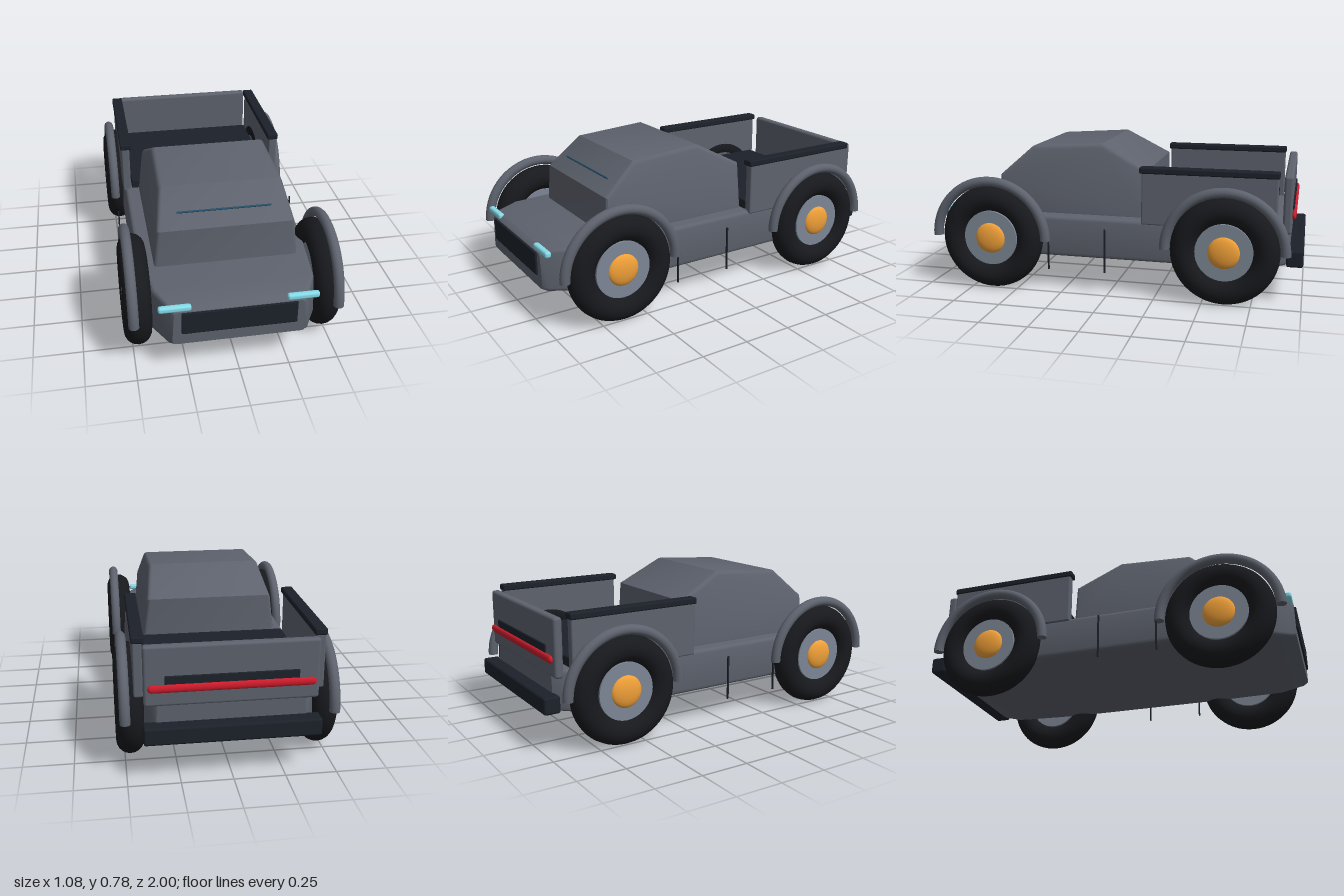
import * as THREE from 'three';
import { toCreasedNormals } from 'three/addons/utils/BufferGeometryUtils.js';
import { RoundedBoxGeometry } from 'three/addons/geometries/RoundedBoxGeometry.js';

const mat = (color) => new THREE.MeshStandardMaterial({ color });
const paint = mat(0x5d626d), dark = mat(0x1c212a), rubber = mat(0x18191d), steel = mat(0x7c8694);
const amber = mat(0xf0a038), red = mat(0xd01c2c), cyan = mat(0x86dcea), blue = mat(0x24506a);

function add(parent, name, geometry, material, x = 0, y = 0, z = 0) {
  const mesh = new THREE.Mesh(geometry, material);
  mesh.name = name;
  mesh.position.set(x, y, z);
  parent.add(mesh);
  return mesh;
}

// Softened box given by its extents on each axis
function block(parent, name, material, [x0, x1], [y0, y1], [z0, z1], r = 0.008) {
  return add(parent, name, new RoundedBoxGeometry(x1 - x0, y1 - y0, z1 - z0, 2, r), material,
    (x0 + x1) / 2, (y0 + y1) / 2, (z0 + z1) / 2);
}

// Lower body: rounded rectangular sections joined from rear to front
function bodyGeometry() {
  // z, half width at bottom, half width at top, bottom y, top y
  const stations = [
    [-0.93, 0.36, 0.35, 0.21, 0.39], [-0.91, 0.38, 0.37, 0.2, 0.4], [-0.83, 0.42, 0.405, 0.19, 0.405],
    [-0.45, 0.455, 0.445, 0.19, 0.405], [0.4, 0.455, 0.445, 0.19, 0.405],
    [0.83, 0.415, 0.4, 0.18, 0.405], [0.96, 0.345, 0.335, 0.18, 0.395], [0.985, 0.325, 0.315, 0.19, 0.375],
  ];
  const r = 0.02, steps = 4, pos = [], idx = [];
  for (const [z, wb, wt, y0, y1] of stations) {
    const corners = [[wt - r, y1 - r], [r - wt, y1 - r], [r - wb, y0 + r], [wb - r, y0 + r]];
    corners.forEach(([cx, cy], c) => {
      for (let i = 0; i <= steps; i++) {
        const a = (c + i / steps) * Math.PI / 2;
        pos.push(cx + r * Math.cos(a), cy + r * Math.sin(a), z);
      }
    });
  }
  const n = 4 * (steps + 1), last = (stations.length - 1) * n;
  for (let s = 0; s < last; s += n)
    for (let i = 0; i < n; i++) {
      const a = s + i, b = s + (i + 1) % n;
      idx.push(a, b, b + n, a, b + n, a + n);
    }
  for (let i = 1; i < n - 1; i++) idx.push(0, i + 1, i, last, last + i, last + i + 1);
  const g = new THREE.BufferGeometry();
  g.setAttribute('position', new THREE.Float32BufferAttribute(pos, 3));
  g.setIndex(idx);
  return toCreasedNormals(g, 0.6);
}

// Cabin: side profile extruded across x, then narrowed toward the roof
function cabinGeometry() {
  const profile = [[-0.18, 0.39], [0.645, 0.39], [0.635, 0.6], [0.46, 0.755], [0.07, 0.782], [-0.18, 0.65]];
  const shape = new THREE.Shape(profile.map(([z, y]) => new THREE.Vector2(z, y)));
  const half = 0.365, b = 0.022;
  const g = new THREE.ExtrudeGeometry(shape, {
    depth: 2 * (half - b), bevelEnabled: true, bevelThickness: b, bevelSize: b, bevelOffset: -b, bevelSegments: 3,
  });
  g.translate(0, 0, b - half).rotateY(-Math.PI / 2);
  const p = g.attributes.position;
  for (let i = 0; i < p.count; i++) {
    const y = p.getY(i);
    const w = y < 0.6 ? 0.368 - 0.1 * (y - 0.4) : 0.348 - 0.22 * (y - 0.6);
    p.setX(i, p.getX(i) * w / half);
  }
  return toCreasedNormals(g, 0.5);
}

// Wheel with tyre, hub and domed cap, plus its arched fender
function wheelUnit(side, z) {
  const unit = new THREE.Group();
  unit.position.set(0, 0.283, z);
  const x = side * 0.472;
  add(unit, 'tyre', new THREE.TorusGeometry(0.21, 0.069, 20, 56).rotateY(Math.PI / 2), rubber, x);
  add(unit, 'hub', new THREE.CylinderGeometry(0.147, 0.147, 0.08, 40).rotateZ(Math.PI / 2), steel, x);
  add(unit, 'hubCap', new THREE.SphereGeometry(0.083, 28, 18).scale(0.35, 1, 1), amber, x + side * 0.036);
  const fender = new THREE.Group();
  fender.name = 'fender';
  unit.add(fender);
  add(fender, 'fenderArch', new THREE.TorusGeometry(0.305, 0.026, 14, 40, Math.PI).rotateY(Math.PI / 2), paint, side * 0.5);
  for (const s of [-1, 1])
    add(fender, 'fenderEnd', new THREE.CircleGeometry(0.026, 14).rotateX(Math.PI / 2), paint, side * 0.5, 0, s * 0.305);
  return unit;
}

// Horizontal rounded rod along x
const rod = (length, r) => new THREE.CapsuleGeometry(r, length - 2 * r, 6, 14).rotateZ(Math.PI / 2);

export function createModel() {
  const model = new THREE.Group();
  model.name = 'pickupTruck';

  add(model, 'lowerBody', bodyGeometry(), paint);
  add(model, 'cabin', cabinGeometry(), paint);
  add(model, 'windshieldStrip', rod(0.48, 0.005), blue, 0, 0.663, 0.568);

  // Nose
  block(model, 'grille', dark, [-0.28, 0.28], [0.253, 0.372], [0.96, 0.995], 0.004);

  // Cargo bed
  block(model, 'bedFloor', dark, [-0.405, 0.405], [0.4, 0.452], [-0.84, -0.18], 0.005);
  block(model, 'tailgate', paint, [-0.413, 0.413], [0.37, 0.667], [-0.935, -0.89], 0.014);
  block(model, 'tailgatePanel', dark, [-0.315, 0.315], [0.455, 0.522], [-0.943, -0.925], 0.004);
  add(model, 'tailLight', rod(0.79, 0.02).scale(1, 1, 0.6), red, 0, 0.463, -0.943);
  block(model, 'rearBumper', dark, [-0.42, 0.42], [0.203, 0.29], [-1, -0.915], 0.012);

  for (const side of [-1, 1]) {
    const span = (a, b) => (side > 0 ? [a, b] : [-b, -a]);
    block(model, 'headlight', cyan, span(0.23, 0.388), [0.374, 0.406], [0.952, 0.984], 0.012);
    block(model, 'bedSide', paint, span(0.41, 0.455), [0.39, 0.665], [-0.865, -0.175]);
    block(model, 'bedRail', dark, span(0.4, 0.461), [0.657, 0.69], [-0.87, -0.165]);
    for (const [z, top] of [[0.315, 0.29], [0.008, 0.365]])
      add(model, 'sidePin', new THREE.BoxGeometry(0.008, top - 0.13, 0.008), dark, side * 0.5, (top + 0.13) / 2, z);
    for (const [name, z] of [['frontWheel', 0.637], ['rearWheel', -0.61]]) {
      const unit = wheelUnit(side, z);
      unit.name = name;
      model.add(unit);
    }
  }
  return model;
}
